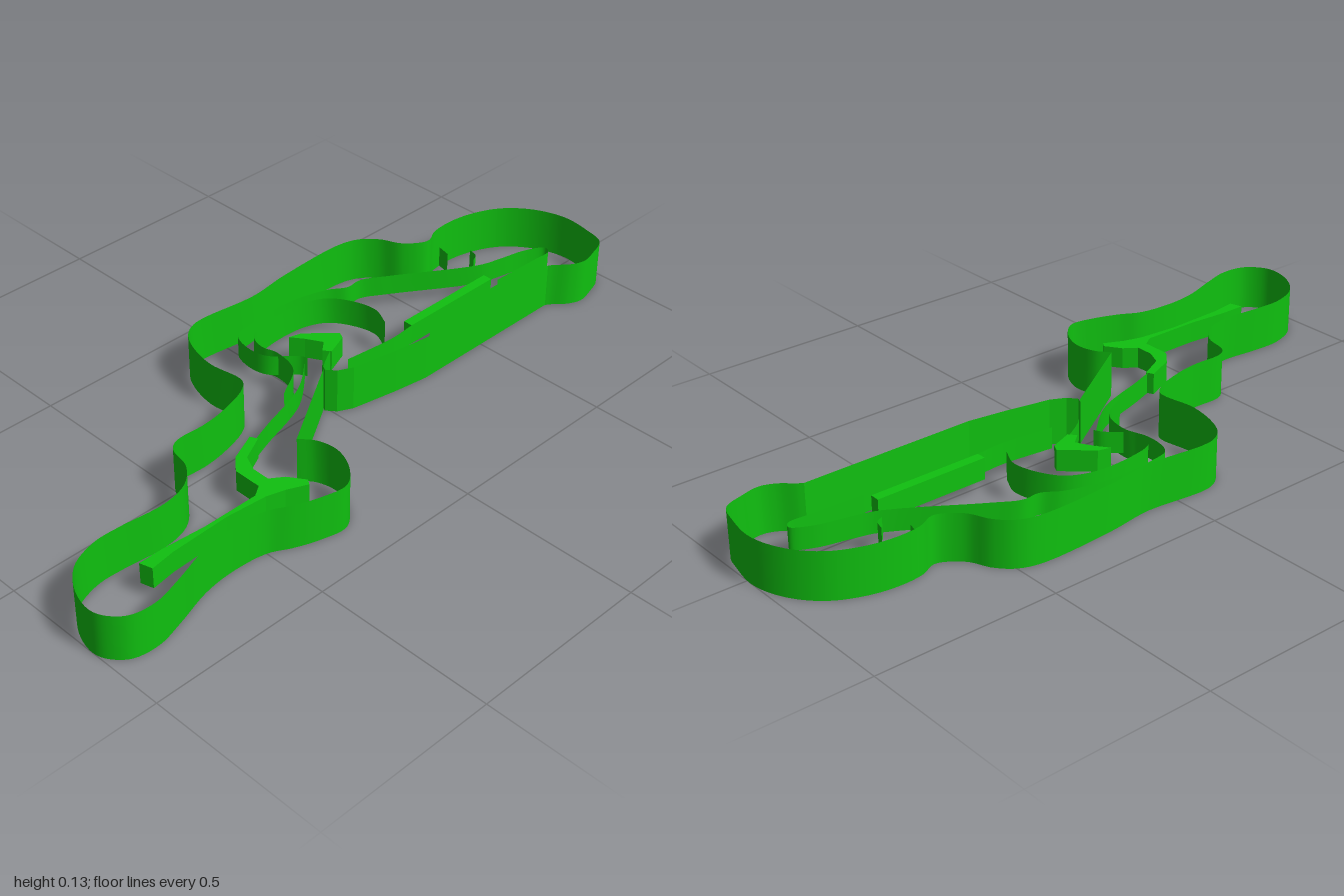
import * as THREE from 'three';

const green = new THREE.MeshStandardMaterial({ color: 0x10c010, side: THREE.DoubleSide });
green.name = 'leaf green';

const HEIGHT = 0.13;

// Plan points are [x, z] in hundredths of a unit
const plan = (pts) => pts.map(([x, z]) => new THREE.Vector3(x / 100, 0, z / 100));

// Thin upright wall swept along a plan path between two heights
function wall(name, pts, y0, y1, smooth = true) {
  let path = plan(pts);
  if (smooth) path = new THREE.CatmullRomCurve3(path, false, 'centripetal').getPoints(pts.length * 5);
  const pos = [], index = [];
  path.forEach((p, i) => {
    pos.push(p.x, y0, p.z, p.x, y1, p.z);
    if (i) {
      const a = 2 * (i - 1);
      index.push(a, a + 2, a + 1, a + 1, a + 2, a + 3);
    }
  });
  let geo = new THREE.BufferGeometry();
  geo.setAttribute('position', new THREE.Float32BufferAttribute(pos, 3));
  geo.setIndex(index);
  if (!smooth) geo = geo.toNonIndexed();
  geo.computeVertexNormals();
  const mesh = new THREE.Mesh(geo, green);
  mesh.name = name;
  return mesh;
}

// Solid block with a plan outline between two heights
function block(name, pts, y0, y1) {
  const shape = new THREE.Shape(pts.map(([x, z]) => new THREE.Vector2(x / 100, -z / 100)));
  const geo = new THREE.ExtrudeGeometry(shape, { depth: y1 - y0, bevelEnabled: false });
  geo.rotateX(-Math.PI / 2).translate(0, y0, 0);
  const mesh = new THREE.Mesh(geo, green);
  mesh.name = name;
  return mesh;
}

export function createModel() {
  const model = new THREE.Group();
  model.name = 'outlineCutter';

  // Outer rim: left lobe, back edge and right lobe
  model.add(wall('outerRim', [
    [-26, 17], [-23, 21], [-22, 27], [-25, 34], [-30, 38], [-37, 37], [-44, 34.5], [-50, 31.5],
    [-60, 30.5], [-69, 31.5], [-80, 35], [-88, 37], [-95, 36], [-99, 32], [-100, 28], [-98, 21],
    [-93, 15], [-85, 12], [-77, 12], [-65, 13], [-57, 11], [-52, 6], [-50, -1], [-47, -3],
    [-38, -3], [-31, -4], [-22, -7], [-19, -10], [-20, -21], [-18, -30], [-15, -35], [-10, -37.5],
    [9, -36], [22, -37.5], [44, -38], [50, -36], [54, -32], [57, -26], [63, -22], [68, -24],
    [75, -24.5], [83, -23], [91, -19], [97, -12], [100, -3], [99, 6], [97, 12], [91, 14.5],
    [86, 15.5], [82, 14], [78.5, 11], [77, 10],
  ], 0, HEIGHT));

  // Straight front panels and the slanted connecting panel
  model.add(wall('frontPanel', [[77, 10], [28, 10], [18, 8.5], [5, 6], [1, 4], [-1, 1.5], [0, -0.5]], 0, HEIGHT, false));
  model.add(wall('slantedPanel', [[-26, 17], [-1, 1]], 0, HEIGHT, false));

  // Inner details sit at mid height
  const low = 0.035, high = 0.095;
  model.add(wall('innerRing', [
    [-13, -1], [-4, -7], [-2, -15], [-3, -20], [-1, -25], [6, -27], [18, -27], [25, -24],
    [29, -18], [30.5, -11], [28, -5],
  ], 0.025, 0.105));
  model.add(wall('innerOutline', [
    [3, -9], [2, -11], [-4, -17], [-5, -23], [-3, -29], [3, -30.5], [17, -31], [29, -28],
    [34, -25], [39, -25], [46, -21], [68, -7], [75, -5], [83, -3], [88, 0], [87, 2], [81, 2], [66, 1.5],
  ], low, high));
  model.add(wall('armUpperWall', [[-29.5, 6.5], [-24, 4.5], [-8, -1], [1, -8], [3, -10]], low, high));
  model.add(wall('armLowerWall', [[-1, 1.5], [3, -3], [11, -8]], low, high));
  model.add(wall('frontLedge', [[10, -1], [25, 0.5], [33, 0]], low, high));
  model.add(wall('frontRail', [[37, 3], [65, 3]], low, high, false));
  model.add(wall('upperTick', [[67, -21], [66, -17]], low, high, false));
  model.add(wall('lowerTick', [[72, -14], [71, -11], [69, -10]], low, high));

  // Solid bars
  model.add(block('straightBar', [[33, 0], [65, 0], [65, -2.7], [33, -2.7]], low, high));
  model.add(block('chevron', [[6, -19], [9.5, -18], [17, -11], [16, -9], [9.5, -6.5], [8, -8.5], [11, -11], [8.5, -15.5]], low, high));
  model.add(block('branchedBar', [
    [-80, 21.5], [-73, 21.5], [-61, 22.5], [-45, 22.5], [-42, 20.5], [-42, 12.5], [-38.5, 8.5],
    [-30.5, 5], [-29.5, 7], [-36.5, 10.5], [-38.5, 15], [-38.5, 20], [-35, 22.5], [-32, 27],
    [-33, 28.5], [-38.5, 26], [-43.5, 24.5], [-55, 23.5], [-72, 24], [-79, 25],
  ], low, high));

  return model;
}
